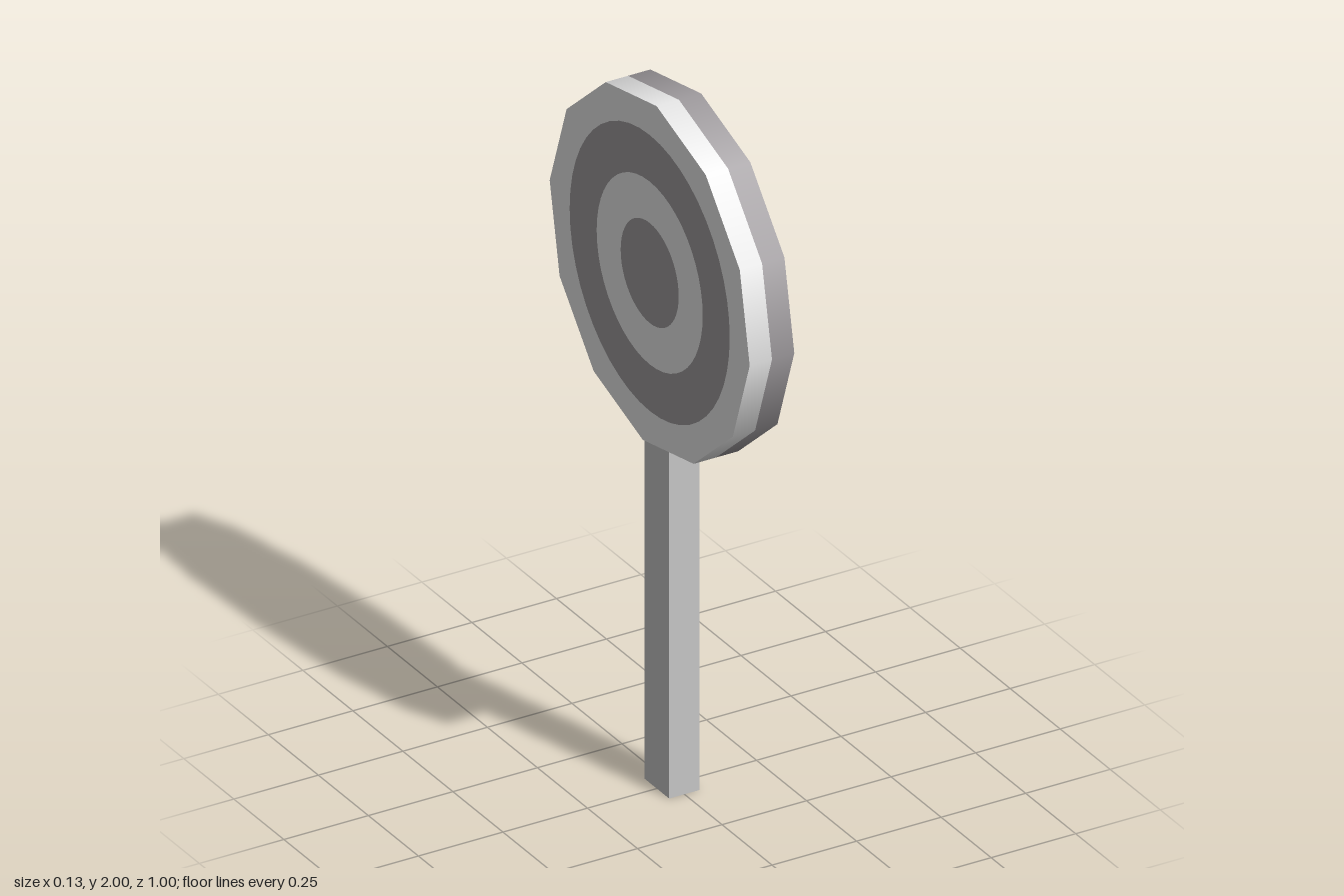
import * as THREE from 'three';

const RADIUS = 0.501, HALF = 0.066, CENTRE_Y = 1.5, SIDES = 12;
const TILT = THREE.MathUtils.degToRad(4);
const RINGS = [0.4, 0.265, 0.145]; // radii where the colour changes

export function createModel() {
  const pale = new THREE.MeshStandardMaterial({ color: 0xf0f0f0 });
  pale.name = 'pale grey';
  const dark = new THREE.MeshStandardMaterial({ color: 0x9e9a9d });
  dark.name = 'dark grey';
  const postGrey = new THREE.MeshStandardMaterial({ color: 0xc6c6c6, side: THREE.DoubleSide });
  postGrey.name = 'post grey';

  const model = new THREE.Group();
  model.name = 'roundSign';
  const add = (parent, name, geometry, material) => {
    const mesh = new THREE.Mesh(geometry, material);
    mesh.name = name;
    parent.add(mesh);
    return mesh;
  };

  // Post: an open-ended square tube
  const post = new THREE.BoxGeometry(0.09, 1.02, 0.124);
  const index = Array.from(post.index.array);
  index.splice(12, 12); // drop the top and bottom
  post.setIndex(index);
  post.clearGroups();
  add(model, 'post', post, postGrey).position.y = 0.51;

  // Disc: two half-thickness rims, each with a face of concentric rings
  const disc = new THREE.Group();
  disc.name = 'disc';
  disc.position.y = CENTRE_Y;
  model.add(disc);

  for (const side of [1, -1]) {
    const label = side > 0 ? 'left' : 'right';
    const colours = side > 0 ? [dark, pale] : [pale, dark];

    const rim = new THREE.CylinderGeometry(RADIUS, RADIUS, HALF, SIDES, 1, true, TILT - Math.PI / 2);
    rim.rotateZ(-Math.PI / 2).translate(side * HALF / 2, 0, 0);
    add(disc, label + 'Rim', rim, colours[0]);

    const face = new THREE.Group();
    face.name = label + 'Face';
    face.rotation.y = side * Math.PI / 2;
    face.position.x = side * HALF;
    disc.add(face);

    // Outer border: polygon with a round hole
    const corners = [];
    for (let i = 0; i < SIDES; i++) {
      const a = Math.PI / 2 + side * TILT + i * 2 * Math.PI / SIDES;
      corners.push(new THREE.Vector2(RADIUS * Math.cos(a), RADIUS * Math.sin(a)));
    }
    const border = new THREE.Shape(corners);
    border.holes.push(new THREE.Path().absarc(0, 0, RINGS[0], 0, Math.PI * 2, true));
    add(face, 'border', new THREE.ShapeGeometry(border, 24), colours[0]);

    // Inner rings and bullseye
    add(face, 'outerRing', new THREE.RingGeometry(RINGS[1], RINGS[0], 48), colours[1]);
    add(face, 'innerRing', new THREE.RingGeometry(RINGS[2], RINGS[1], 48), colours[0]);
    add(face, 'bullseye', new THREE.CircleGeometry(RINGS[2], 48), colours[1]);
  }
  return model;
}
